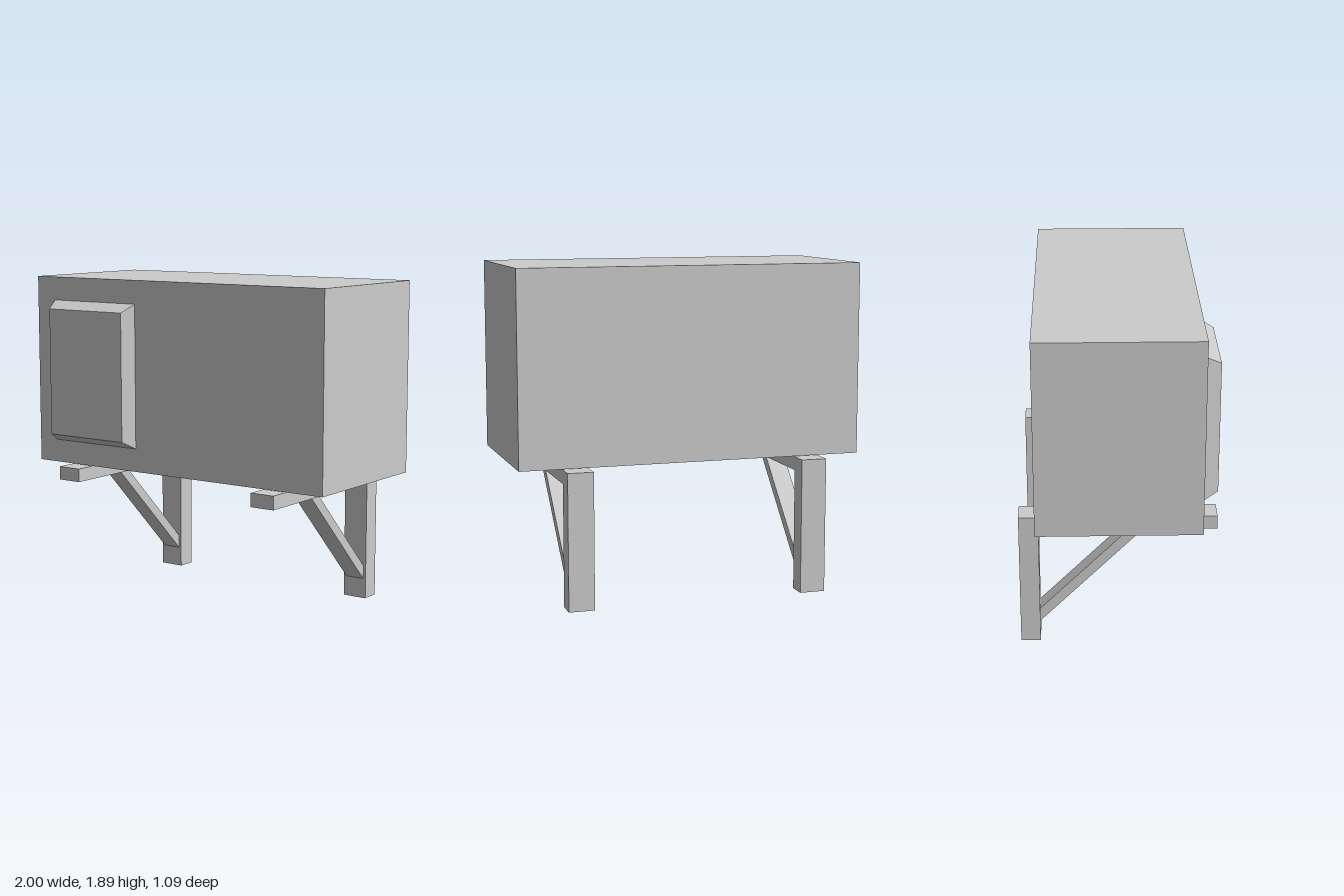
import * as THREE from 'three';

const material = new THREE.MeshStandardMaterial({ color: 0xcccccc, flatShading: true });

function addMesh(parent, name, geometry) {
  const mesh = new THREE.Mesh(geometry, material);
  mesh.name = name;
  parent.add(mesh);
  return mesh;
}

// Extrudes a side profile of [z, y] points across x, centred on x = 0
function sideProfile(points, width) {
  const shape = new THREE.Shape(points.map(([z, y]) => new THREE.Vector2(z, y)));
  const geometry = new THREE.ExtrudeGeometry(shape, { depth: width, bevelEnabled: false });
  geometry.translate(0, 0, -width / 2);
  return geometry.rotateY(-Math.PI / 2);
}

// Box whose front face is shrunk to give sloping sides
function taperedPanel(width, height, depth, frontWidth, frontHeight) {
  const geometry = new THREE.BoxGeometry(width, height, depth);
  const p = geometry.attributes.position;
  for (let i = 0; i < p.count; i++) {
    if (p.getZ(i) > 0) {
      p.setX(i, p.getX(i) * frontWidth / width);
      p.setY(i, p.getY(i) * frontHeight / height);
    }
  }
  geometry.computeVertexNormals();
  return geometry;
}

export function createModel() {
  const model = new THREE.Group();
  model.name = 'bracketMountedCabinet';

  // Main cabinet
  addMesh(model, 'cabinet', new THREE.BoxGeometry(2, 1.102, 0.904)).position.y = 1.336;

  // Raised front panel
  addMesh(model, 'frontPanel', taperedPanel(0.602, 0.832, 0.086, 0.538, 0.74))
    .position.set(-0.568, 1.335, 0.495);

  // Two support brackets: post and arm in one piece, plus a diagonal brace
  const frame = sideProfile([
    [-0.547, 0], [-0.437, 0], [-0.437, 0.7], [0.547, 0.7], [0.547, 0.778], [-0.547, 0.778],
  ], 0.148);
  const brace = sideProfile([
    [-0.437, 0.118], [0.145, 0.7], [0.066, 0.7], [-0.437, 0.197],
  ], 0.116);
  for (const [name, x] of [['rightBracket', -0.694], ['leftBracket', 0.677]]) {
    const bracket = new THREE.Group();
    bracket.name = name;
    bracket.position.x = x;
    addMesh(bracket, 'postAndArm', frame);
    addMesh(bracket, 'diagonalBrace', brace);
    model.add(bracket);
  }

  return model;
}
